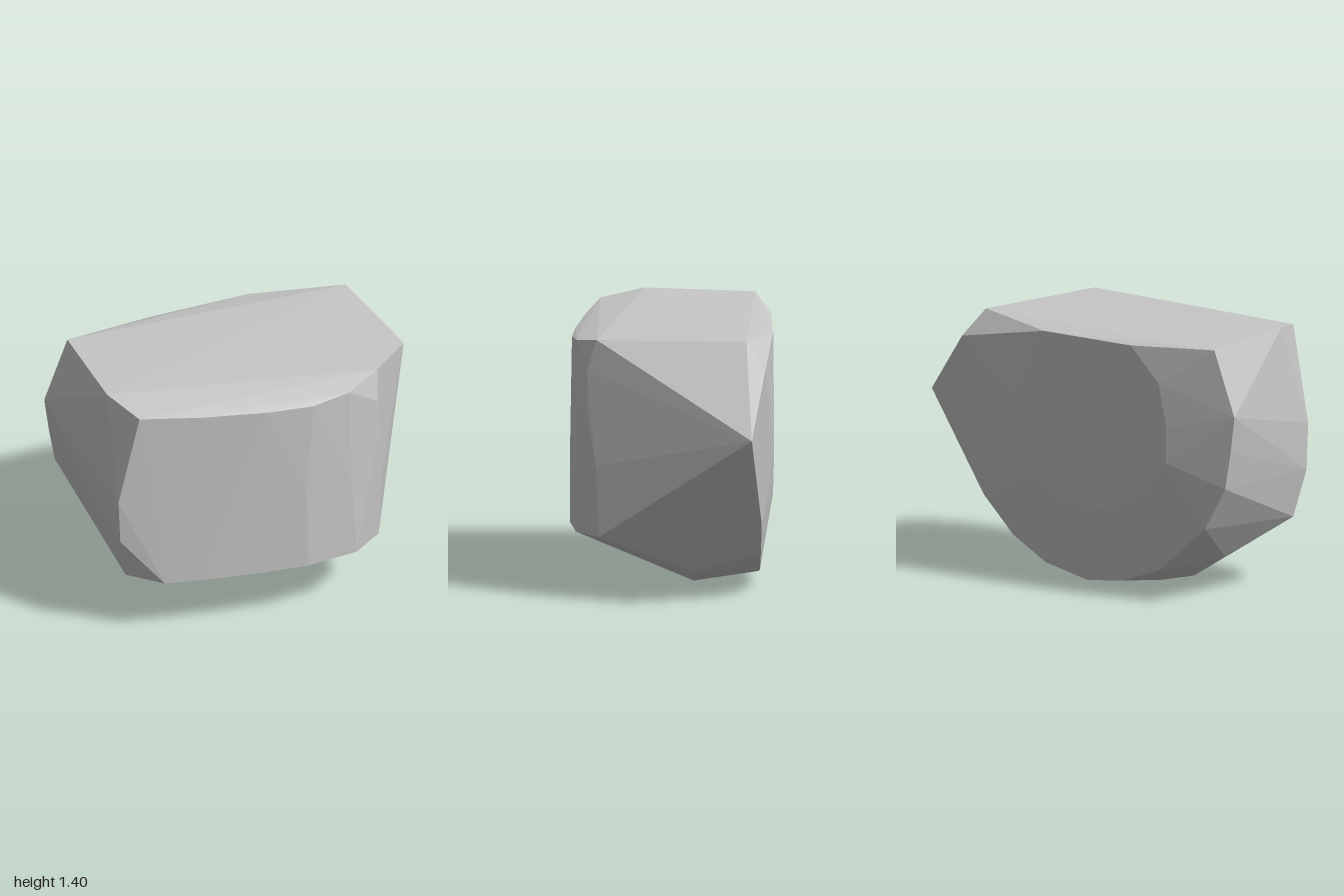
import * as THREE from 'three';
import { ConvexGeometry } from 'three/addons/geometries/ConvexGeometry.js';

// Turns [x, y] pairs into points on a plane of constant z
const slice = (z, pairs) => pairs.map(([x, y]) => new THREE.Vector3(x, y, z));
const points = (list) => list.map((p) => new THREE.Vector3(...p));

export function createModel() {
  const group = new THREE.Group();
  group.name = 'boulder';

  const stone = new THREE.MeshStandardMaterial({ color: 0xc7c7c7 });
  stone.name = 'light grey stone';
  stone.flatShading = true;

  // Flat back face
  const back = slice(-0.53, [
    [0.18, 1.365], [-0.38, 1.36], [-0.56, 1.18], [-0.61, 0.95], [-0.61, 0.76], [-0.46, 0.58],
    [-0.24, 0.46], [0.05, 0.47], [0.26, 0.59], [0.38, 0.79], [0.37, 0.97],
  ]);

  // Wider ring just ahead of the back face
  const backRim = slice(-0.46, [
    [-0.87, 1.385], [-1, 1.04], [-0.975, 0.85], [-0.94, 0.65], [-0.81, 0.42], [-0.51, 0.16],
    [-0.27, 0.075], [-0.05, 0.05], [0.22, 0.11], [0.43, 0.23], [0.62, 0.42],
  ]);

  // Rounded keel, where the sloping underside begins
  const keel = slice(-0.12, [
    [-0.69, 0.2], [-0.49, 0.07], [-0.28, 0.02], [-0.05, 0], [0.16, 0.04], [0.38, 0.125],
  ]);

  // Gently bowed front: lower edge, middle and upper edge
  const front = points([
    [-0.84, 0.36, 0.28], [-0.67, 0.34, 0.405], [-0.47, 0.34, 0.45], [-0.18, 0.34, 0.5],
    [0.09, 0.34, 0.53], [0.37, 0.34, 0.505], [0.54, 0.34, 0.39],
    [-0.89, 0.61, 0.33], [-0.9, 0.86, 0.33], [0.08, 0.8, 0.528], [0.34, 0.8, 0.512],
    [0.55, 0.72, 0.405], [0.515, 1, 0.45], [0.51, 1.22, 0.45],
    [-0.79, 1.37, 0.35], [-0.47, 1.35, 0.43], [-0.12, 1.335, 0.495],
    [0.12, 1.33, 0.52], [0.33, 1.35, 0.5],
  ]);

  // Corners of the top and the pointed left end
  const corners = points([
    [-0.88, 1.405, 0.12], [0.53, 1.385, 0.4], [0.665, 1.395, -0.38], [0.75, 1.255, -0.475],
    [1, 0.93, -0.4],
  ]);

  const geometry = new ConvexGeometry([...back, ...backRim, ...keel, ...front, ...corners]);
  const rock = new THREE.Mesh(geometry, stone);
  rock.name = 'rock';
  group.add(rock);
  return group;
}
